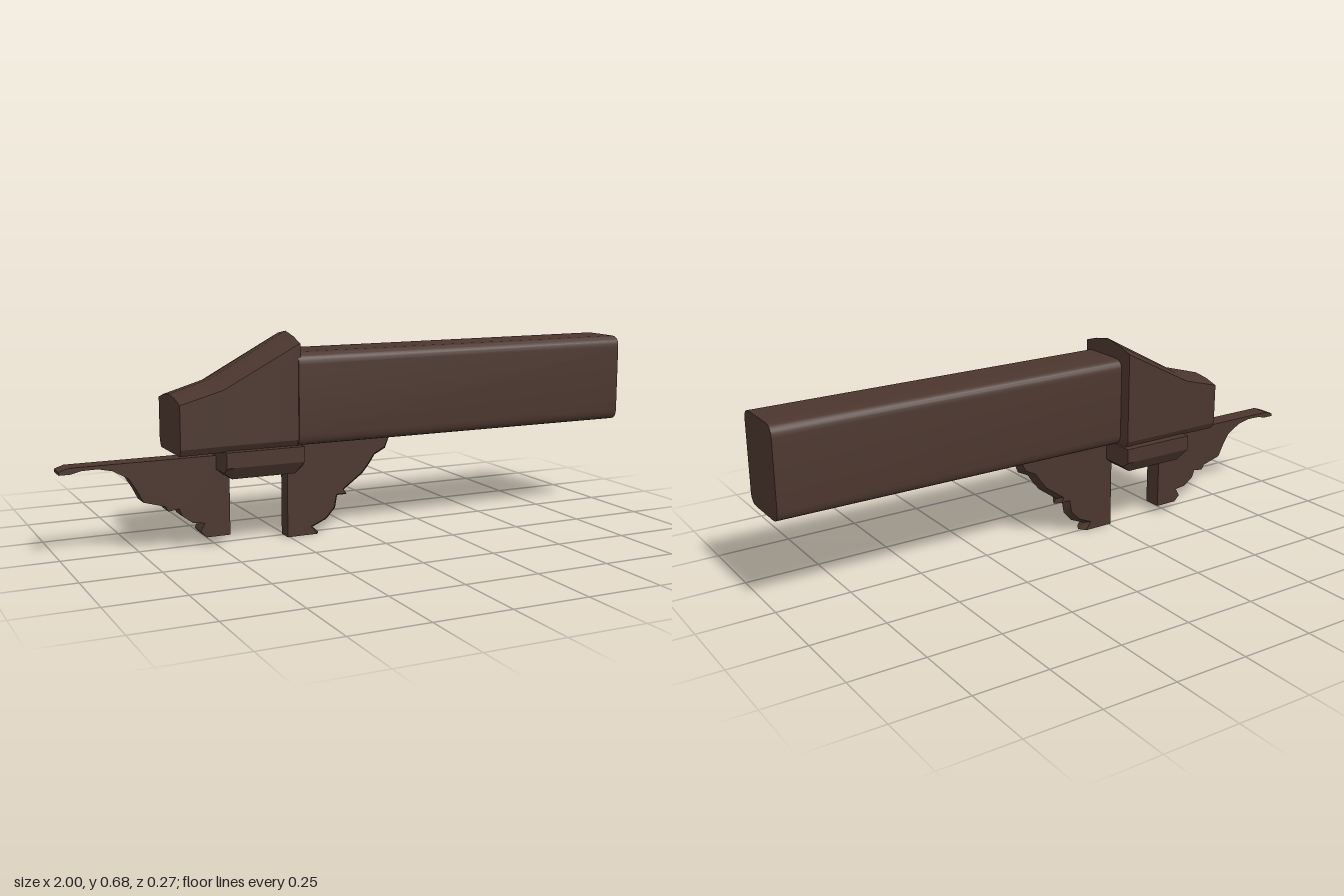
import * as THREE from 'three';
import { toCreasedNormals } from 'three/addons/utils/BufferGeometryUtils.js';

// Closed solid through convex sections { x, pts }, pts = [-z, y] counterclockwise seen from +x
function loft(sections, crease) {
  const pos = [];
  const n = sections[0].pts.length;
  const put = (s, j) => {
    const p = sections[s].pts[j % n];
    pos.push(sections[s].x, p[1], -p[0]);
  };
  for (let s = 0; s < sections.length - 1; s++) {
    for (let j = 0; j < n; j++) {
      put(s, j); put(s, j + 1); put(s + 1, j);
      put(s, j + 1); put(s + 1, j + 1); put(s + 1, j);
    }
  }
  const last = sections.length - 1;
  for (let j = 1; j < n - 1; j++) {
    put(0, 0); put(0, j + 1); put(0, j);
    put(last, 0); put(last, j); put(last, j + 1);
  }
  const g = new THREE.BufferGeometry();
  g.setAttribute('position', new THREE.Float32BufferAttribute(pos, 3));
  return toCreasedNormals(g, crease);
}

// Scrolled bracket: side outline extruded across z
function bracket(outline, z0, z1, bulge) {
  const shape = new THREE.Shape(outline.map(([x, y]) => new THREE.Vector2(x, y)));
  const g = new THREE.ExtrudeGeometry(shape, { depth: z1 - z0, steps: 2, bevelEnabled: false });
  g.translate(0, 0, z0);
  // push the carved edge out into a shallow ridge along its middle
  const p = g.attributes.position;
  const mid = (z0 + z1) / 2;
  for (let i = 0; i < p.count; i++) {
    if (Math.abs(p.getZ(i) - mid) < 0.002 && p.getX(i) > -0.25) {
      p.setX(i, p.getX(i) + bulge);
      if (p.getY(i) > 0.01 && p.getY(i) < 0.31) p.setY(i, p.getY(i) - bulge * 0.6);
    }
  }
  return toCreasedNormals(g, 0.6);
}

export function createModel() {
  const model = new THREE.Group();
  const darkWood = new THREE.MeshStandardMaterial({ color: 0x4b362e });
  darkWood.name = 'darkWood';
  const add = (name, geometry) => {
    const mesh = new THREE.Mesh(geometry, darkWood);
    mesh.name = name;
    model.add(mesh);
  };

  // Long beam with rounded corners, slightly off centre
  const L = -0.127, R = 0.08, B = 0.318, T = 0.62, r = 0.038;
  const s = new THREE.Shape();
  s.moveTo(L + r, B);
  s.lineTo(R - r, B);
  s.quadraticCurveTo(R, B, R, B + r);
  s.lineTo(R, T - r);
  s.quadraticCurveTo(R, T, R - r, T);
  s.lineTo(L + r, T);
  s.quadraticCurveTo(L, T, L, T - r);
  s.lineTo(L, B + r);
  s.quadraticCurveTo(L, B, L + r, B);
  const beam = new THREE.ExtrudeGeometry(s, { depth: 1.25, bevelEnabled: false, curveSegments: 6 });
  beam.rotateY(Math.PI / 2).translate(-0.25, 0, 0);
  add('beam', toCreasedNormals(beam, 0.7));

  // Sloping head with a ridged roof
  const headSection = (x, w, yb, ys, ym, yr) => ({
    x,
    pts: [[-0.88 * w, yb], [0.88 * w, yb], [w, yb + 0.022], [w, ys], [0.53 * w, ym],
      [0, yr], [-0.53 * w, ym], [-w, ys], [-w, yb + 0.022]],
  });
  add('head', loft([
    headSection(-0.64, 0.109, 0.313, 0.475, 0.49, 0.497),
    headSection(-0.5, 0.116, 0.316, 0.515, 0.53, 0.538),
    headSection(-0.243, 0.122, 0.318, 0.65, 0.668, 0.68),
  ], 0.25));

  // Chamfered block beneath the head
  const blockSection = (x, yb) => ({
    x,
    pts: [[-0.11, yb], [0.11, yb], [0.135, 0.27], [0.135, 0.32], [-0.135, 0.32], [-0.135, 0.27]],
  });
  add('baseBlock', loft([
    blockSection(-0.5, 0.25), blockSection(-0.475, 0.23),
    blockSection(-0.26, 0.23), blockSection(-0.235, 0.25),
  ], 0.2));

  // Carved bracket under the beam
  add('beamBracket', bracket([
    [-0.257, 0.32], [-0.257, 0], [-0.15, 0], [-0.172, 0.028], [-0.12, 0.05], [-0.088, 0.085],
    [-0.08, 0.128], [-0.045, 0.128], [-0.055, 0.145], [0.015, 0.195], [0.04, 0.225],
    [0.06, 0.255], [0.1, 0.275], [0.122, 0.32],
  ], -0.013, 0.04, 0.015));

  // Carved bracket tapering out past the head
  add('tailBracket', bracket([
    [-1, 0.285], [-1, 0.275], [-0.965, 0.275], [-0.93, 0.283], [-0.88, 0.284], [-0.835, 0.274],
    [-0.785, 0.245], [-0.76, 0.205], [-0.74, 0.165], [-0.67, 0.145], [-0.66, 0.128],
    [-0.625, 0.133], [-0.615, 0.108], [-0.58, 0.082], [-0.54, 0.077], [-0.555, 0.05],
    [-0.535, 0.03], [-0.455, 0.03], [-0.455, 0.295], [-0.97, 0.295],
  ], -0.032, 0.032, 0));

  return model;
}
